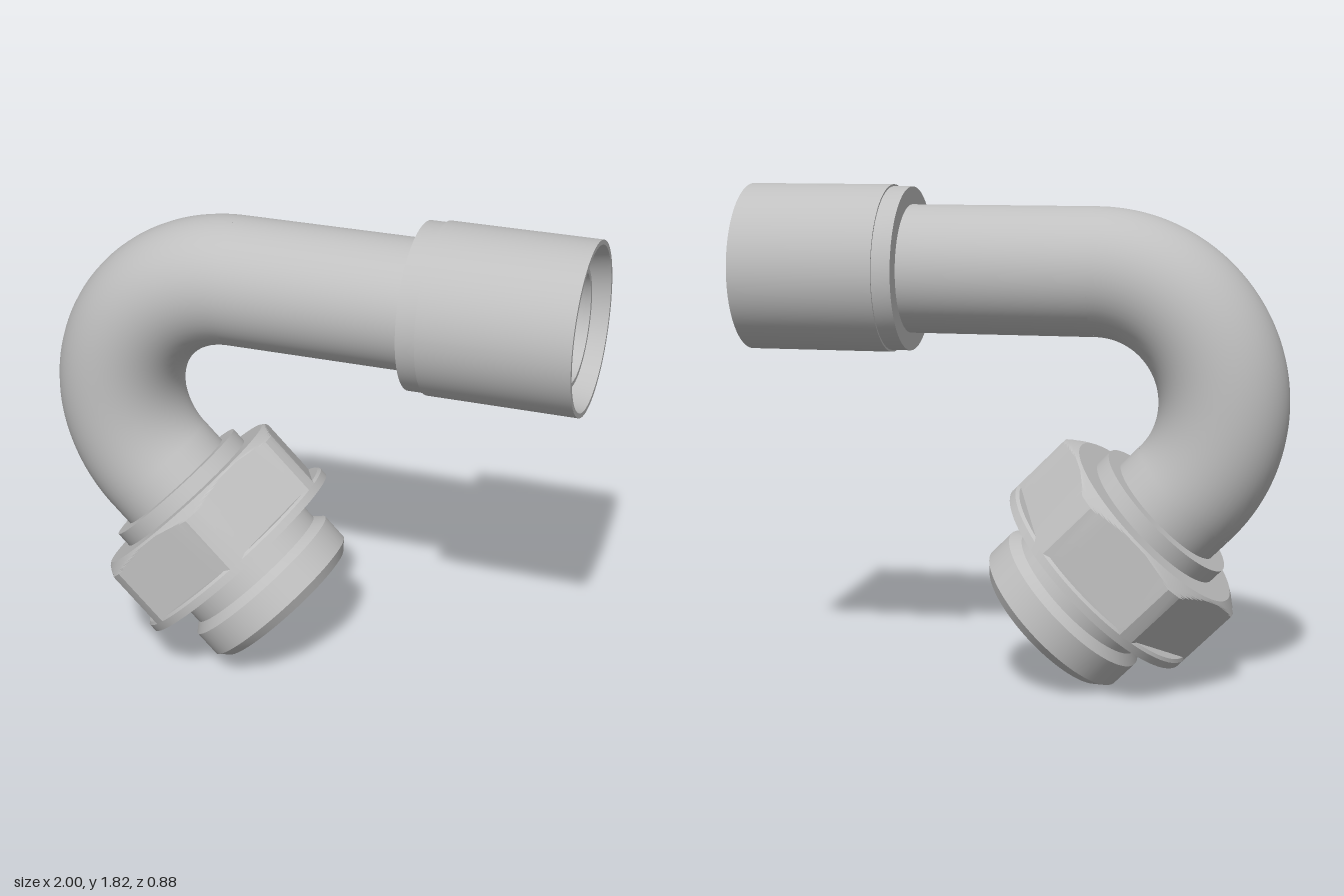
import * as THREE from 'three';
import { toCreasedNormals } from 'three/addons/utils/BufferGeometryUtils.js';

const SEGMENTS = 96;
const BEND = 0.465;            // bend radius of the pipe centreline
const TUBE = 0.235, BORE = 0.195;
const AXIS_Y = 1.52, BEND_X = -0.3;

export function createModel() {
  const model = new THREE.Group();
  model.name = 'bentPipeFitting';
  const steel = new THREE.MeshStandardMaterial({ color: 0xc0c0c0, side: THREE.DoubleSide });
  steel.name = 'steel grey';

  const add = (parent, name, geometry) => {
    const mesh = new THREE.Mesh(geometry, steel);
    mesh.name = name;
    parent.add(mesh);
    return mesh;
  };
  // Turned part from [radius, distance along axis] points
  const lathe = (points) =>
    new THREE.LatheGeometry(points.map(([r, s]) => new THREE.Vector2(r, s)), SEGMENTS);
  const turned = (parent, name, points) => add(parent, name, toCreasedNormals(lathe(points), 0.35));
  const pipe = (parent, name, radius, from, to) => {
    const g = new THREE.CylinderGeometry(radius, radius, to - from, 64, 1, true);
    add(parent, name, g.translate(0, (from + to) / 2, 0));
  };

  // Groups whose local y runs along each pipe end
  const upper = new THREE.Group();
  upper.name = 'upperEnd';
  upper.position.set(0, AXIS_Y, 0);
  upper.rotation.z = -Math.PI / 2;
  const lower = new THREE.Group();
  lower.name = 'lowerEnd';
  lower.position.set(BEND_X - BEND * Math.SQRT1_2, AXIS_Y - BEND - BEND * Math.SQRT1_2, 0);
  lower.rotation.z = -Math.PI * 0.75;
  model.add(upper, lower);

  // Pipe: outer and inner walls of the 135 degree bend and both straights
  for (const [name, r] of [['Outer', TUBE], ['Inner', BORE]]) {
    const bend = add(model, 'bend' + name, new THREE.TorusGeometry(BEND, r, 48, 72, Math.PI * 0.75));
    bend.position.set(BEND_X, AXIS_Y - BEND, 0);
    bend.rotation.z = Math.PI / 2;
    pipe(upper, 'straight' + name, r, BEND_X, 0.93);
    pipe(lower, 'neck' + name, r, 0, 0.2);
  }

  // Sleeve with a recess around the pipe mouth
  turned(upper, 'sleeve', [
    [TUBE, 0.39], [0.3, 0.39], [0.3, 0.46], [0.307, 0.46], [0.307, 1],
    [0.29, 1], [0.265, 0.85], [TUBE, 0.85],
  ]);
  turned(upper, 'pipeMouth', [[TUBE, 0.93], [0.212, 0.95], [BORE, 0.95], [BORE, 0.93]]);

  // Collar where the pipe enters the nut
  turned(lower, 'collar', [[TUBE, 0.095], [0.295, 0.095], [0.295, 0.16]]);

  // Hex nut: a turned blank with a rounded chamfer, cut back to six flats
  const blank = [[0.29, 0.155]];
  for (let i = 0; i <= 8; i++) blank.push([0.385 + 0.055 * i / 8, 0.155 + 0.035 * i / 8]);
  blank.push([0.44, 0.43]);
  const nut = lathe(blank);
  const p = nut.attributes.position;
  const sixth = Math.PI / 3;
  for (let i = 0; i < p.count; i++) {
    const x = p.getX(i), z = p.getZ(i), r = Math.hypot(x, z);
    const a = Math.atan2(x, z);
    const limit = 0.395 / Math.cos(a - Math.round(a / sixth) * sixth);
    const k = Math.min(1, limit / r);
    p.setXYZ(i, x * k, p.getY(i), z * k);
  }
  add(lower, 'hexNut', toCreasedNormals(nut, 0.35));

  // Flange below the nut
  turned(lower, 'flange', [[0.38, 0.42], [0.43, 0.42], [0.44, 0.43], [0.44, 0.46], [0.29, 0.46]]);

  // Spigot with undercut, chamfered rim and tapered bore
  turned(lower, 'spigot', [
    [0.295, 0.455], [0.295, 0.55], [0.33, 0.58], [0.33, 0.685],
    [0.295, 0.72], [0.265, 0.72], [BORE, 0.2],
  ]);

  return model;
}
